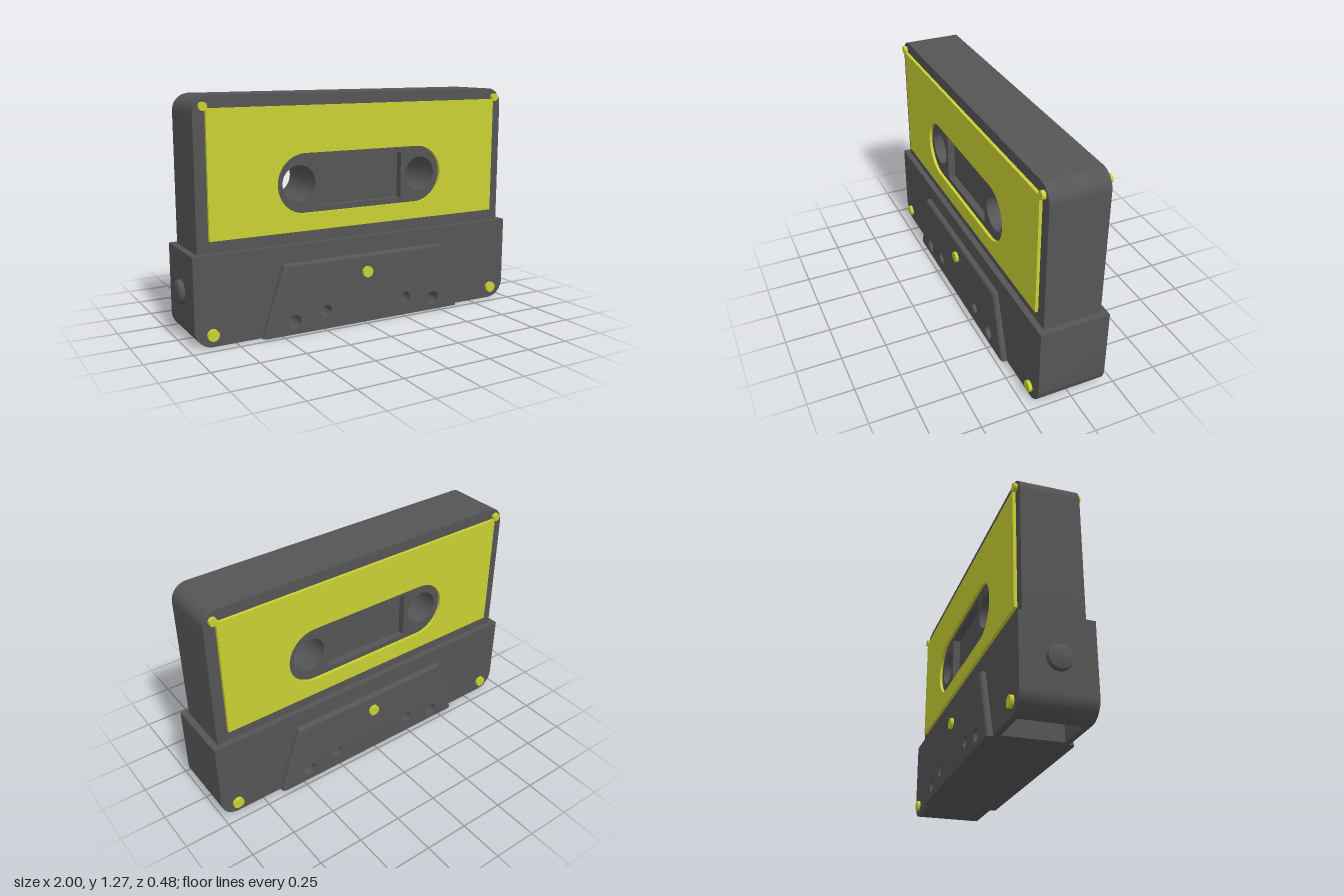
import * as THREE from 'three';
import { toCreasedNormals } from 'three/addons/utils/BufferGeometryUtils.js';

const dark = new THREE.MeshStandardMaterial({ color: 0x555555 });
const yellow = new THREE.MeshStandardMaterial({ color: 0xc9d032 });

const polygon = (pts) => new THREE.Shape(pts.map(([x, y]) => new THREE.Vector2(x, y)));
const rect = (x0, x1, y0, y1) => polygon([[x0, y0], [x1, y0], [x1, y1], [x0, y1]]);
const circle = (x, y, r) => new THREE.Path().absarc(x, y, r, 0, Math.PI * 2, true);

function withHoles(shape, ...holes) {
  shape.holes.push(...holes);
  return shape;
}

// slab between two depths, smooth on curves and sharp on edges
function slab(shape, z0, z1, steps = 1) {
  const geo = new THREE.ExtrudeGeometry(shape, { depth: z1 - z0, steps, bevelEnabled: false, curveSegments: 20 });
  return geo.translate(0, 0, z0);
}

function add(parent, name, geo, material) {
  const mesh = new THREE.Mesh(toCreasedNormals(geo, 0.6), material);
  mesh.name = name;
  parent.add(mesh);
  return mesh;
}

// upper shell outline: rounded top corners
function upperShape() {
  const w = 0.95, h = 1.27, r = 0.09;
  const s = new THREE.Shape().moveTo(-w, 0.47).lineTo(w, 0.47).lineTo(w, h - r);
  s.absarc(w - r, h - r, r, 0, Math.PI / 2);
  s.lineTo(-w + r, h);
  s.absarc(-w + r, h - r, r, Math.PI / 2, Math.PI);
  s.closePath();
  return withHoles(s, circle(-0.38, 0.8, 0.096), circle(0.38, 0.8, 0.096));
}

const baseHoles = () => [[0.255, 0.1, 0.033], [0.445, 0.07, 0.039]]
  .flatMap(([x, y, r]) => [circle(x, y, r), circle(-x, y, r)]);

// lower shell outline: rounded bottom corners, optional pocket in the underside
function lowerShape(pocket) {
  const w = 0.985, h = 0.48, r = 0.1;
  const s = new THREE.Shape().moveTo(w, h).lineTo(-w, h).lineTo(-w, r);
  s.absarc(-w + r, r, r, Math.PI, Math.PI * 1.5);
  if (pocket) s.lineTo(-0.865, 0).lineTo(-0.865, 0.18).lineTo(-0.645, 0.18).lineTo(-0.645, 0);
  s.lineTo(w - r, 0);
  s.absarc(w - r, r, r, -Math.PI / 2, 0);
  s.closePath();
  return withHoles(s, ...baseHoles());
}

// raised trapezoid whose top and sloping edges are rounded over
function trapezoidPlate() {
  const shape = withHoles(polygon([[-0.6225, 0], [0.6225, 0], [0.5, 0.385], [-0.5, 0.385]]), ...baseHoles());
  const geo = slab(shape, 0.19, 0.222, 8);
  const p = geo.attributes.position, r = 0.02;
  for (let i = 0; i < p.count; i++) {
    const x = p.getX(i), y = p.getY(i);
    const d = Math.max(0, p.getZ(i) - (0.222 - r));
    const inset = r - Math.sqrt(Math.max(0, r * r - d * d));
    if (Math.abs(x) > 0.49) p.setX(i, x - Math.sign(x) * inset);
    if (y > 0.38) p.setY(i, y - inset);
  }
  return geo;
}

function labelShape() {
  const oval = new THREE.Path();
  oval.absarc(0.35, 0.8, 0.16, Math.PI / 2, -Math.PI / 2, true);
  oval.absarc(-0.35, 0.8, 0.16, -Math.PI / 2, -Math.PI * 1.5, true);
  oval.closePath();
  return withHoles(rect(-0.8875, 0.8875, 0.545, 1.208), oval);
}

// parts that repeat on the front and back faces
function createFace(name) {
  const face = new THREE.Group();
  face.name = name;
  const window = rect(-0.255, 0.255, 0.67, 0.93);
  add(face, 'upperShellFace', slab(withHoles(upperShape(), window), 0.118, 0.158), dark);
  add(face, 'lowerShellFace', slab(lowerShape(false), 0.16, 0.19), dark);
  add(face, 'trapezoidPlate', trapezoidPlate(), dark);
  add(face, 'label', slab(labelShape(), 0.158, 0.175), yellow);

  const screws = [
    [-0.9, 1.218, 0.022, 0.178], [0.9, 1.218, 0.022, 0.178],
    [-0.89, 0.066, 0.031, 0.208], [0.89, 0.066, 0.031, 0.208],
    [0, 0.288, 0.031, 0.238],
  ];
  for (const [x, y, r, z] of screws) {
    const geo = new THREE.CylinderGeometry(r, r, 0.03, 24).rotateX(Math.PI / 2);
    add(face, 'screw', geo.translate(x, y, z - 0.015), yellow);
  }
  return face;
}

export function createModel() {
  const model = new THREE.Group();
  model.name = 'cassette';
  const body = new THREE.Group();
  body.name = 'body';
  body.position.x = 0.015;
  model.add(body);

  // cores; the upper one forms the floor of the window recesses
  add(body, 'upperShellCore', slab(upperShape(), -0.118, 0.118), dark);
  add(body, 'lowerShellCore', slab(lowerShape(true), -0.16, 0.16), dark);

  // front face, and the back as a half turn, mirrored parts being symmetric
  body.add(createFace('frontFace'));
  const back = createFace('backFace');
  back.rotation.y = Math.PI;
  body.add(back);

  // domed-edge button on the right end
  const profile = [[0.063, 0], [0.063, 0.018], [0.06, 0.026], [0.052, 0.03], [0, 0.03]]
    .map(([r, y]) => new THREE.Vector2(r, y));
  const button = new THREE.LatheGeometry(profile, 32).rotateZ(Math.PI / 2);
  add(body, 'sideButton', button.translate(-0.985, 0.26, 0), dark);

  return model;
}
